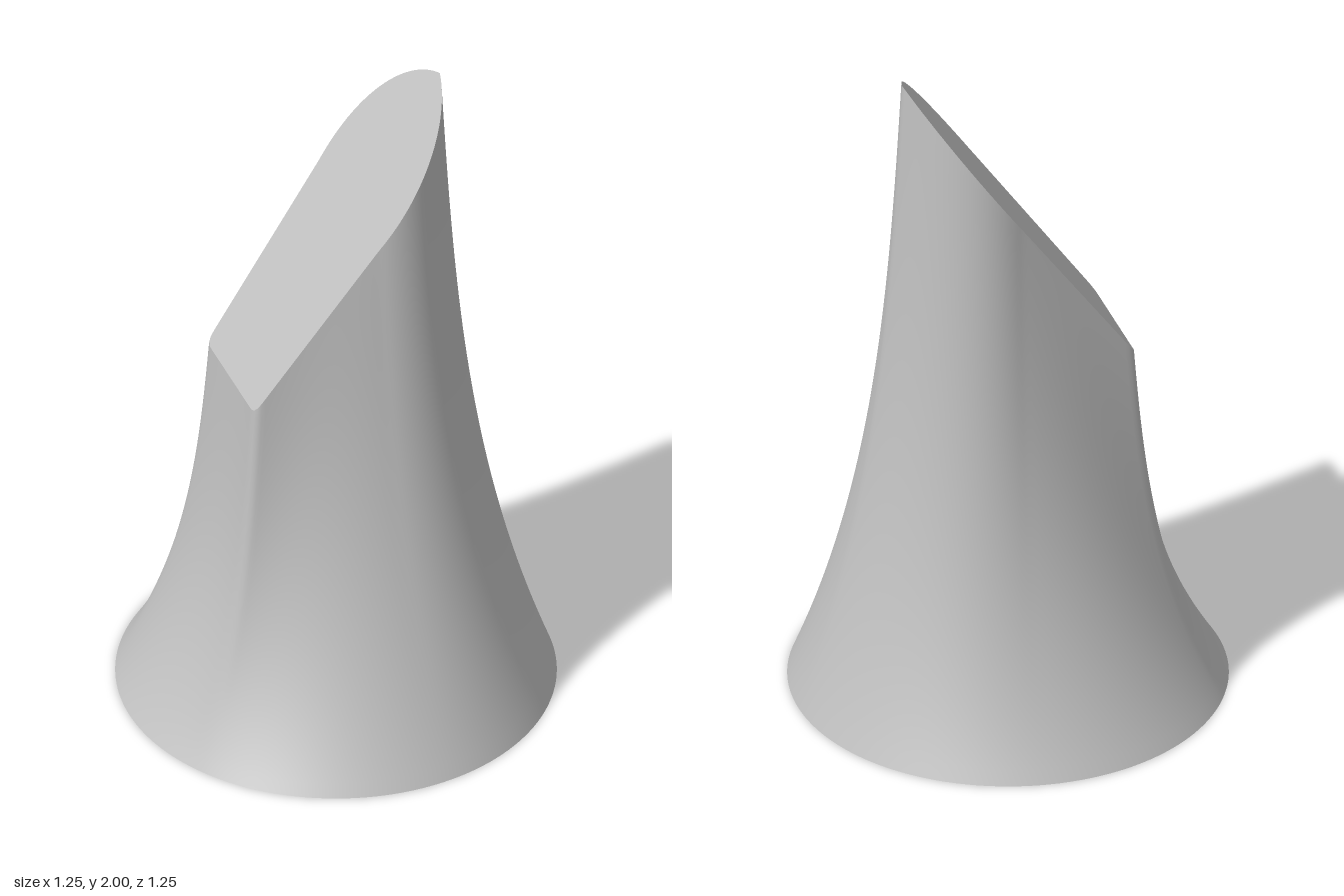
import * as THREE from 'three';

const BASE_RADIUS = 0.625;
const ROWS = 40;
const HALF_STEPS = 80;

// Height of the slanted cut above a given x
const cutHeight = (x) => 2 + 1.417 * (x - 0.315);

// Flare: how far a wall line has moved from the base circle to the cut outline
const flare = (t) => 0.33 * t + 0.67 * (1 - (1 - t) ** 3);

// Plan outline of the cut: flat heel, tapering sides, rounded tip
function cutOutline() {
  const half = new THREE.Path();
  half.moveTo(-0.32, 0);
  half.lineTo(-0.32, 0.16);
  half.quadraticCurveTo(-0.32, 0.185, -0.3, 0.189);
  half.lineTo(0.04, 0.236);
  half.bezierCurveTo(0.17, 0.27, 0.28, 0.165, 0.315, 0);
  const pts = half.getSpacedPoints(HALF_STEPS);
  const mirrored = pts.slice(1, -1).reverse().map((p) => new THREE.Vector2(p.x, -p.y));
  return [...pts, ...mirrored];
}

function makeGeometry(positions, index) {
  const g = new THREE.BufferGeometry();
  g.setAttribute('position', new THREE.Float32BufferAttribute(positions, 3));
  g.setIndex(index);
  g.computeVertexNormals();
  return g;
}

// Wall lofted from the base circle to the slanted outline
function wallGeometry(outline) {
  const n = outline.length;
  const positions = [];
  const index = [];
  for (let r = 0; r <= ROWS; r++) {
    const t = r / ROWS;
    for (const p of outline) {
      const a = Math.atan2(p.y, p.x);
      const k = flare(t);
      positions.push(
        THREE.MathUtils.lerp(BASE_RADIUS * Math.cos(a), p.x, k),
        cutHeight(p.x) * t,
        THREE.MathUtils.lerp(BASE_RADIUS * Math.sin(a), p.y, k)
      );
    }
  }
  for (let r = 0; r < ROWS; r++) {
    for (let i = 0; i < n; i++) {
      const a = r * n + i;
      const b = r * n + ((i + 1) % n);
      index.push(a, b, b + n, a, b + n, a + n);
    }
  }
  return makeGeometry(positions, index);
}

// Flat slanted face closing the top
function cutGeometry(outline) {
  const n = outline.length;
  const positions = [0, cutHeight(0), 0];
  const index = [];
  outline.forEach((p, i) => {
    positions.push(p.x, cutHeight(p.x), p.y);
    index.push(0, i + 1, ((i + 1) % n) + 1);
  });
  return makeGeometry(positions, index);
}

export function createModel() {
  const group = new THREE.Group();
  group.name = 'slantedFlaredColumn';
  const grey = new THREE.MeshStandardMaterial({ color: 0xc0c0c0 });
  grey.name = 'light grey';

  const add = (name, geometry) => {
    const mesh = new THREE.Mesh(geometry, grey);
    mesh.name = name;
    group.add(mesh);
    return mesh;
  };

  const outline = cutOutline();
  add('flaredWall', wallGeometry(outline));
  add('slantedTop', cutGeometry(outline));
  // Round underside
  add('baseDisc', new THREE.CircleGeometry(BASE_RADIUS, 128).rotateX(Math.PI / 2));
  return group;
}
